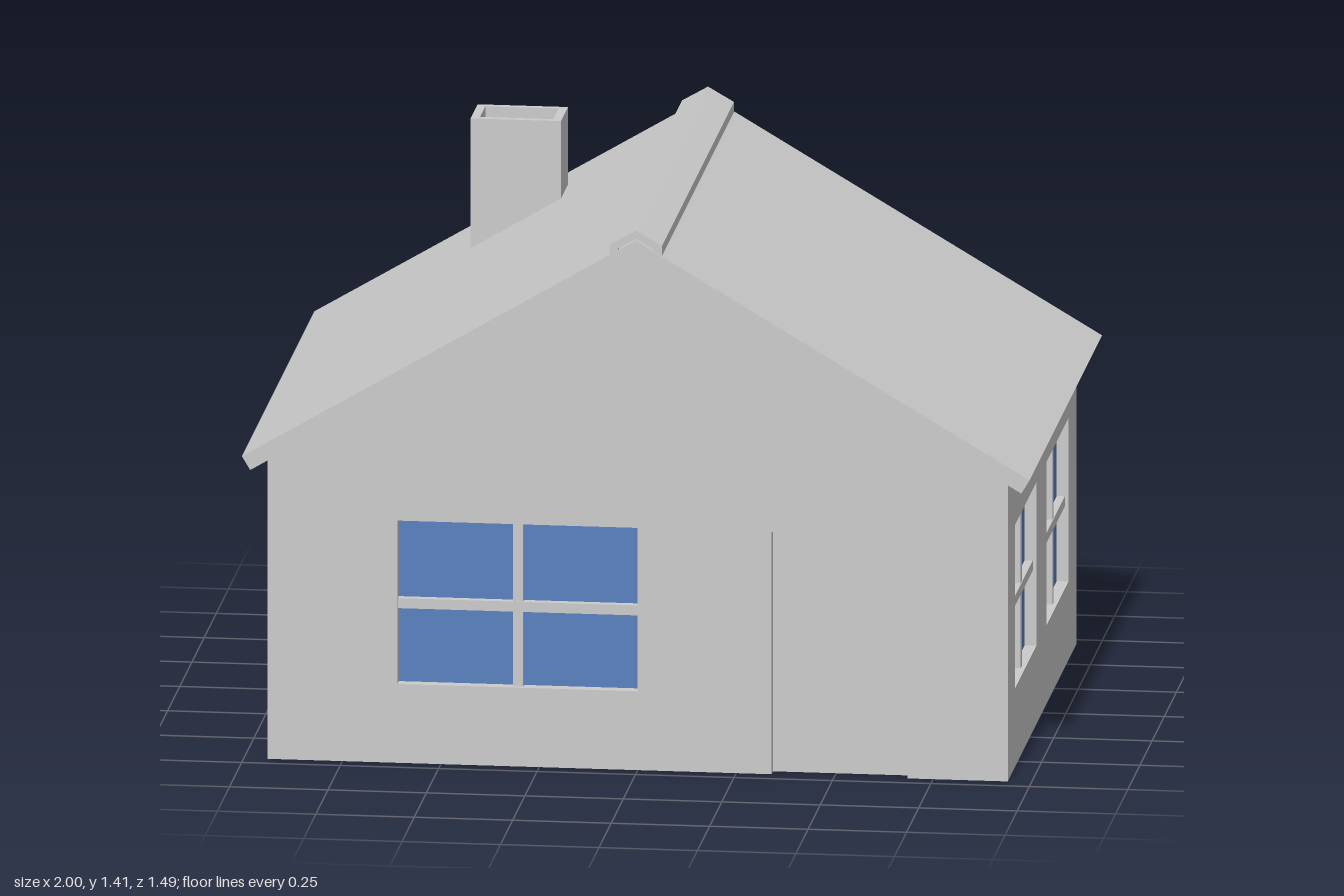
import * as THREE from 'three';

const grey = new THREE.MeshStandardMaterial({ color: 0xcccccc, side: THREE.DoubleSide, flatShading: true });
const blue = new THREE.MeshStandardMaterial({ color: 0x5b82c0, side: THREE.DoubleSide, flatShading: true });

const HALF_W = 0.94, HALF_D = 0.705, EAVE = 0.784, PEAK = 1.345;
const DEPTH = 0.03; // recess of door and windows
const SILL = 0.205, HEAD = 0.63, BAR = 0.026;

function mesh(name, geometry, material = grey) {
  const m = new THREE.Mesh(geometry, material);
  m.name = name;
  return m;
}

function polygon(points) {
  return new THREE.Shape(points.map(([x, y]) => new THREE.Vector2(x, y)));
}

function rectPath(x0, x1, y0, y1) {
  return new THREE.Path([[x0, y0], [x0, y1], [x1, y1], [x1, y0]].map(([x, y]) => new THREE.Vector2(x, y)));
}

function extrude(points, length) {
  const g = new THREE.ExtrudeGeometry(polygon(points), { depth: length, bevelEnabled: false });
  return g.translate(0, 0, -length / 2);
}

// Recessed panel with reveals, in a wall's own plane (z = 0, outward +z)
function recess(name, x0, x1, y0, y1, material, withSill) {
  const g = new THREE.Group();
  g.name = name;
  const w = x1 - x0, h = y1 - y0, cx = (x0 + x1) / 2, cy = (y0 + y1) / 2;
  g.add(mesh(name + 'Panel', new THREE.PlaneGeometry(w, h).translate(cx, cy, -DEPTH), material));
  for (const x of [x0, x1]) {
    g.add(mesh(name + 'Jamb', new THREE.PlaneGeometry(DEPTH, h).rotateY(Math.PI / 2).translate(x, cy, -DEPTH / 2)));
  }
  for (const y of withSill ? [y0, y1] : [y1]) {
    g.add(mesh(name + 'Reveal', new THREE.PlaneGeometry(w, DEPTH).rotateX(Math.PI / 2).translate(cx, y, -DEPTH / 2)));
  }
  return g;
}

// Glazed window with a cross of bars; overrun lengthens the crossbar behind the wall
function makeWindow(x0, x1, overrun) {
  const g = recess('window', x0, x1, SILL, HEAD, blue, true);
  const cx = (x0 + x1) / 2;
  g.add(mesh('uprightBar', new THREE.BoxGeometry(BAR, HEAD - SILL, BAR).translate(cx, (SILL + HEAD) / 2, -0.024)));
  g.add(mesh('crossBar', new THREE.BoxGeometry(x1 - x0 + overrun * 2, BAR, BAR).translate(cx, 0.413, -0.022)));
  return g;
}

function makeWall(name, outline, windows, overrun) {
  const g = new THREE.Group();
  g.name = name;
  const shape = polygon(outline);
  for (const [x0, x1] of windows) {
    shape.holes.push(rectPath(x0, x1, SILL, HEAD));
    g.add(makeWindow(x0, x1, overrun));
  }
  g.add(mesh(name + 'Surface', new THREE.ShapeGeometry(shape)));
  return g;
}

export function createModel() {
  const house = new THREE.Group();
  house.name = 'house';

  // Gable walls, the front one notched for the door
  const gable = [[HALF_W, 0], [HALF_W, EAVE], [0, PEAK], [-HALF_W, EAVE], [-HALF_W, 0]];
  const d0 = 0.34, d1 = 0.685;
  const notch = [[d0, 0], [d0, HEAD], [d1, HEAD], [d1, 0]];
  const front = makeWall('frontWall', [...gable, ...notch], [[-0.61, 0]], 0);
  front.add(recess('door', d0, d1, 0, HEAD, grey, false));
  front.position.z = HALF_D;
  const back = makeWall('backWall', gable, [], 0);
  back.rotation.y = Math.PI;
  back.position.z = -HALF_D;
  house.add(front, back);

  // Side walls, mirrored, two windows each
  const side = [[-HALF_D, 0], [HALF_D, 0], [HALF_D, EAVE], [-HALF_D, EAVE]];
  const spans = [[0.12, 0.56], [-0.54, -0.085]];
  for (const s of [1, -1]) {
    const windows = spans.map(([a, b]) => (s > 0 ? [-b, -a] : [a, b]));
    const wall = makeWall(s > 0 ? 'leftWall' : 'rightWall', side, windows, 0.09);
    wall.rotation.y = s * Math.PI / 2;
    wall.position.x = s * HALF_W;
    house.add(wall);
  }

  // Roof slab and ridge cap
  house.add(mesh('roof', extrude(
    [[0, 1.387], [-1, 0.795], [-0.979, 0.76], [0, PEAK], [0.979, 0.76], [1, 0.795]], 1.49)));
  house.add(mesh('ridgeCap', extrude(
    [[0, 1.412], [-0.066, 1.374], [-0.066, 1.34], [-0.045, 1.353], [-0.045, 1.365], [0, 1.391],
      [0.045, 1.365], [0.045, 1.353], [0.066, 1.34], [0.066, 1.374]], 1.48)));

  // Hollow chimney, its foot cut to the roof slope
  const flue = polygon([[-0.565, 0.43], [-0.335, 0.43], [-0.335, 0.575], [-0.565, 0.575]]);
  flue.holes.push(rectPath(-0.543, -0.357, 0.448, 0.557));
  const chimney = new THREE.ExtrudeGeometry(flue, { depth: 1.39, bevelEnabled: false }).rotateX(-Math.PI / 2);
  const p = chimney.attributes.position;
  for (let i = 0; i < p.count; i++) {
    if (p.getY(i) < 0.5) p.setY(i, 1.365 + 0.595 * p.getX(i));
  }
  chimney.computeVertexNormals();
  house.add(mesh('chimney', chimney));

  return house;
}
